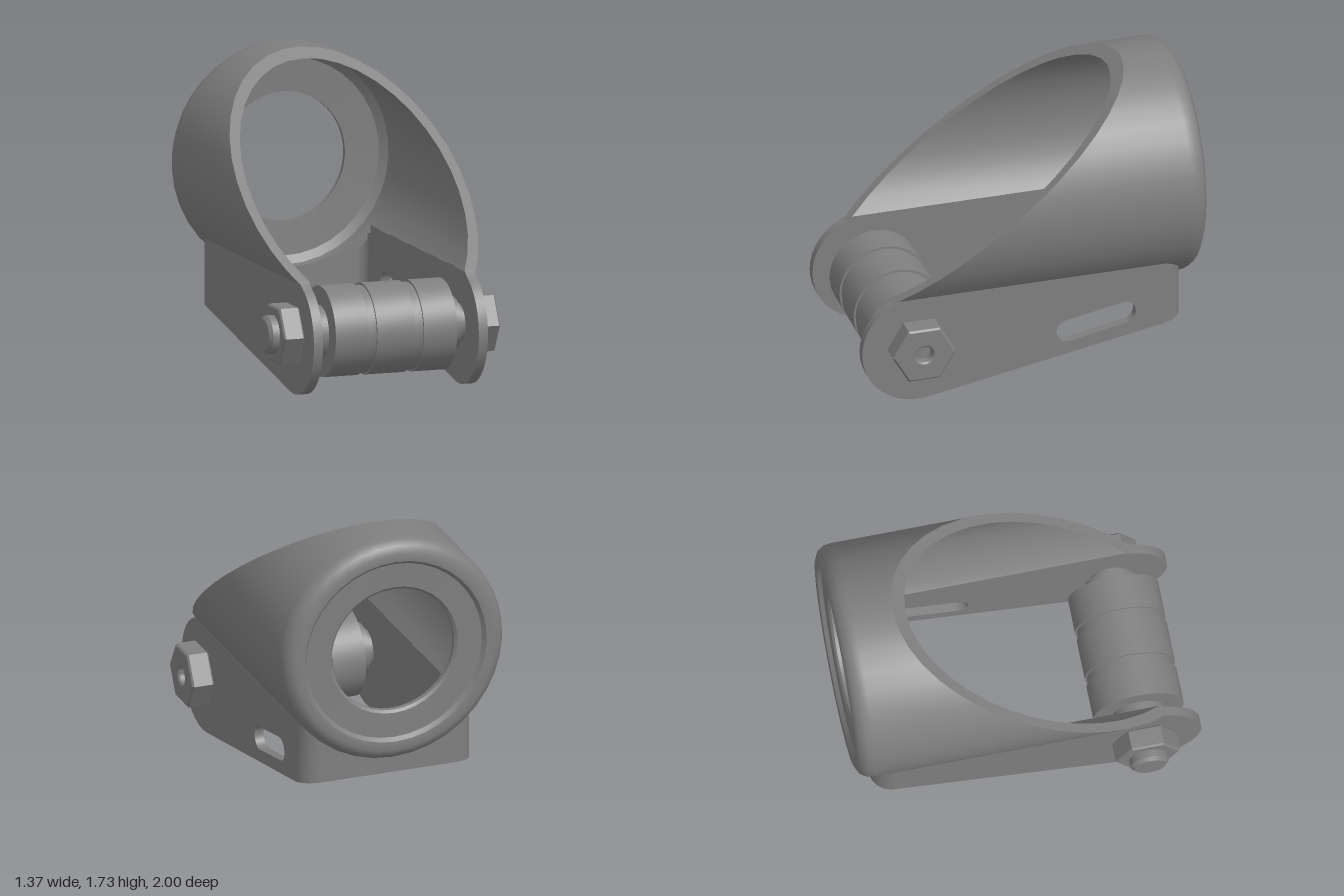
import * as THREE from 'three';
import { toCreasedNormals } from 'three/addons/utils/BufferGeometryUtils.js';

const CX = 0.015;                    // symmetry plane of the housing
const TUBE_Y = 1.06, RO = 0.67, RI = 0.615;
const PLATE_O = 0.5225, PLATE_I = 0.4675, PLATE_TOP = 0.658;
const AXLE_Y = 0.35, AXLE_Z = 0.67;
const deg = THREE.MathUtils.degToRad;
const mat = new THREE.MeshStandardMaterial({ color: 0x7f7f7f });

function part(name, geometry) {
  const mesh = new THREE.Mesh(toCreasedNormals(geometry, 0.6), mat);
  mesh.name = name;
  return mesh;
}

// Skin through a list of sections: joined into a ring, or capped at both ends
function loft(sections, ring) {
  const index = [], m = sections[0].length, n = sections.length;
  for (let i = 0; i < (ring ? n : n - 1); i++) {
    const a = i * m, b = ((i + 1) % n) * m;
    for (let j = 0; j < m; j++) {
      const k = (j + 1) % m;
      index.push(a + j, b + j, b + k, a + j, b + k, a + k);
    }
  }
  const last = (n - 1) * m;
  for (let j = 1; !ring && j < m - 1; j++) {
    index.push(0, j, j + 1, last, last + j + 1, last + j);
  }
  const g = new THREE.BufferGeometry();
  g.setAttribute('position', new THREE.Float32BufferAttribute(sections.flat(2), 3));
  g.setIndex(index);
  return g;
}

// Turned part lying along x on the axle line
function turned(name, pts, segments = 32) {
  const points = pts.map(p => new THREE.Vector2(...p));
  const mesh = part(name, new THREE.LatheGeometry(points, segments).rotateZ(-Math.PI / 2));
  mesh.position.set(0, AXLE_Y, AXLE_Z);
  return mesh;
}

// Tube with a slanted front cut, an open bottom and a rounded rear rim with a flange
function tube() {
  const rim = [
    [0.37, -0.925], [0.37, -0.955], [0.385, -0.968], [0.53, -0.972], [0.55, -0.995],
    [0.6, -1], [0.64, -0.98], [0.665, -0.94], [RO, -0.9],
  ];
  const flange = [[RI, -0.88], [0.57, -0.915]];
  const sections = [];
  const arc = (from, to, steps, front) => {
    for (let i = 0; i <= steps; i++) {
      const a = deg(from + (to - from) * i / steps), s = Math.sin(a), c = -Math.cos(a);
      const ends = [RO, RI].map(r => [r, front(TUBE_Y + r * c)]);
      sections.push([...rim, ...ends, ...flange].map(([r, z]) => [CX + r * s, TUBE_Y + r * c, z]));
    }
  };
  arc(49.4, 310.6, 28, y => -0.67 + (1.73 - y) / 0.745);
  arc(310.6, 409.4, 10, () => -0.8);
  return part('tubeHousing', loft(sections, true));
}

// Side plate outline, drawn with shape x = -z
function sidePlate(name, x, slotted) {
  const s = new THREE.Shape();
  s.moveTo(0.77, 0.259);
  s.lineTo(0.77, PLATE_TOP);
  s.lineTo(-0.77, PLATE_TOP);
  s.absarc(-AXLE_Z, 0.33, 0.33, deg(113), deg(280.3), false);
  if (slotted) {
    const tilt = Math.atan2(0.065, 0.33), r = 0.068, slot = new THREE.Path();
    slot.absarc(0.21, 0.3, r, tilt + Math.PI / 2, tilt + Math.PI * 1.5, false);
    slot.absarc(0.54, 0.365, r, tilt - Math.PI / 2, tilt + Math.PI / 2, false);
    s.holes.push(slot);
  }
  const g = new THREE.ExtrudeGeometry(s, {
    depth: PLATE_O - PLATE_I, bevelEnabled: false, curveSegments: 10,
  }).rotateY(Math.PI / 2);
  const mesh = part(name, g);
  mesh.position.x = x;
  return mesh;
}

// Back wall with rounded corners, trimmed to the tube above
function backWall() {
  const zc = -0.77, ro = 0.12, ri = ro - (PLATE_O - PLATE_I), xc = PLATE_O - ro;
  const path = [];               // outer x, outer z, inner x, inner z
  for (let k = 0; k <= 6; k++) {
    const c = Math.cos(k * Math.PI / 12), s = Math.sin(k * Math.PI / 12);
    path.push([xc + ro * c, zc - ro * s, xc + ri * c, zc - ri * s]);
  }
  const mirrored = path.map(([a, b, c, d]) => [-a, b, -c, d]).reverse();
  for (let k = 1; k < 10; k++) {
    const x = xc * (1 - k / 5);
    path.push([x, zc - ro, x, zc - ri]);
  }
  path.push(...mirrored);
  const bottom = z => 0.005 + (0.63 - z) * 0.181;
  const top = x => Math.min(PLATE_TOP, TUBE_Y - Math.sqrt(0.645 ** 2 - x * x));
  return part('backWall', loft(path.map(([xo, zo, xi, zi]) => [
    [CX + xo, bottom(zo), zo], [CX + xo, top(xo), zo],
    [CX + xi, top(xi), zi], [CX + xi, bottom(zi), zi],
  ]), false));
}

// Chamfered hexagonal block along x with a round bore
function hexBlock(name, x, width, bore) {
  const s = new THREE.Shape(), b = 0.01;
  for (let i = 0; i < 6; i++) {
    const a = i * Math.PI / 3;
    s[i ? 'lineTo' : 'moveTo'](0.185 * Math.cos(a), 0.185 * Math.sin(a));
  }
  s.holes.push(new THREE.Path().absarc(0, 0, bore, 0, Math.PI * 2, true));
  const g = new THREE.ExtrudeGeometry(s, {
    depth: width - 2 * b, curveSegments: 16,
    bevelThickness: b, bevelSize: b, bevelOffset: -b, bevelSegments: 1,
  }).rotateY(Math.PI / 2);
  const mesh = part(name, g);
  mesh.position.set(x + b, AXLE_Y, AXLE_Z);
  return mesh;
}

export function createModel() {
  const model = new THREE.Group();
  model.name = 'rollerBracket';

  const housing = new THREE.Group();
  housing.name = 'housing';
  housing.add(
    tube(), backWall(),
    sidePlate('slottedSidePlate', CX + PLATE_I, true),
    sidePlate('plainSidePlate', CX - PLATE_O, false),
  );

  // Roller with two shallow grooves
  const R = 0.26, G = 0.248;
  const roller = turned('roller', [
    [0, -0.35], [R, -0.35], [R, -0.15], [G, -0.15], [G, -0.1], [R, -0.1],
    [R, 0.13], [G, 0.13], [G, 0.18], [R, 0.18], [R, 0.38], [0, 0.38],
  ], 40);

  // Spacers and through bolt with a chamfered end
  const spacers = turned('spacers', [[0, -0.42], [0.15, -0.42], [0.15, 0.45], [0, 0.45]]);
  const bolt = turned('bolt', [
    [0, -0.69], [0.09, -0.69], [0.11, -0.67], [0.11, 0.54], [0.05, 0.54], [0.05, 0.61], [0, 0.61],
  ]);

  const axle = new THREE.Group();
  axle.name = 'axle';
  axle.add(
    roller, spacers, bolt,
    hexBlock('boltHead', CX + PLATE_O, 0.13, 0.05),
    hexBlock('nut', -0.63, 0.123, 0.09),
  );

  model.add(housing, axle);
  return model;
}
